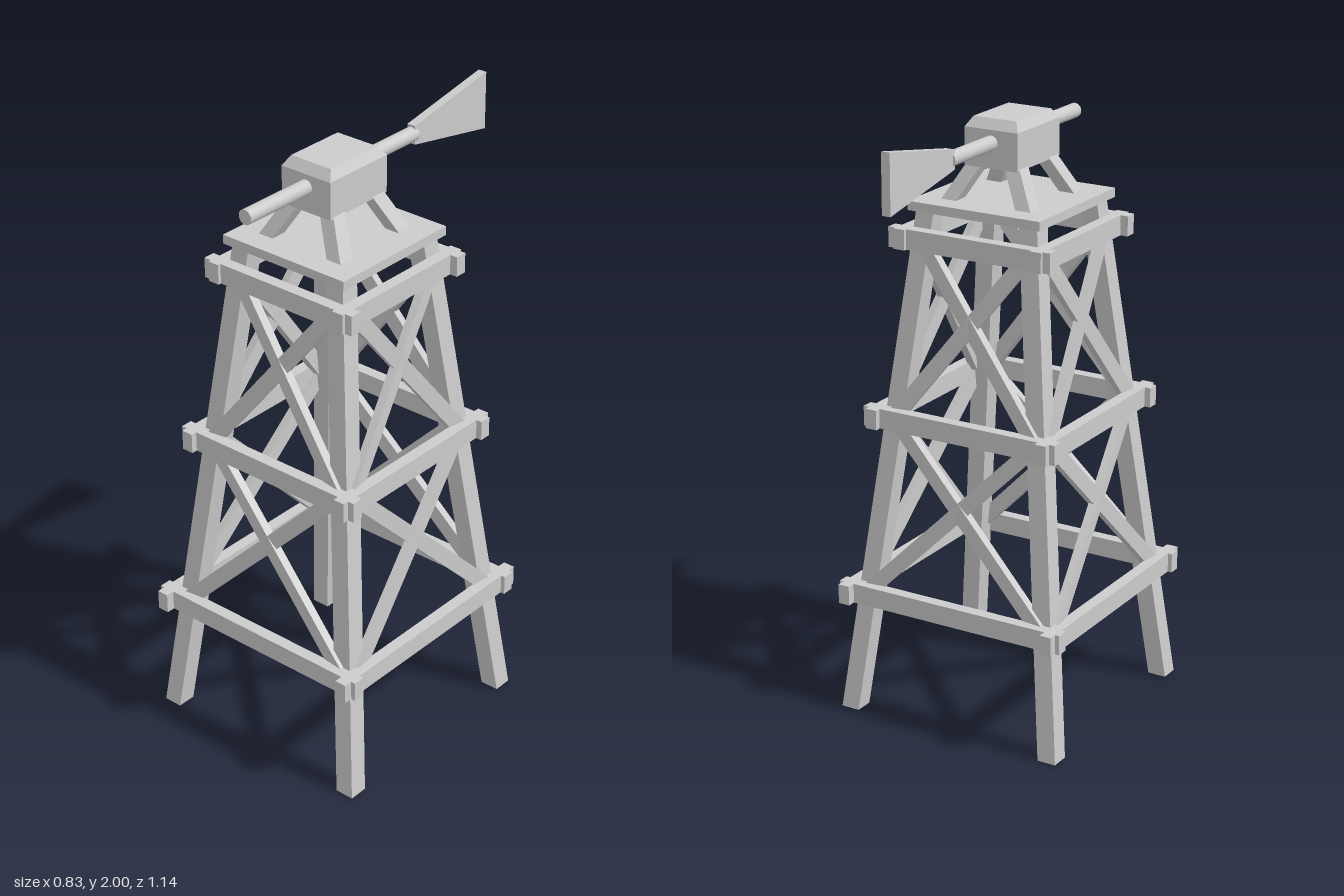
import * as THREE from 'three';

const material = new THREE.MeshStandardMaterial({ color: 0xcccccc, flatShading: true });
const CZ = 0.143; // tower axis in z

function add(parent, name, geometry, x = 0, y = 0, z = 0) {
  const mesh = new THREE.Mesh(geometry, material);
  mesh.name = name;
  mesh.position.set(x, y, z);
  parent.add(mesh);
  return mesh;
}

// Box whose top and bottom rectangles are [centreX, y, centreZ, width, depth]
function loft(bottom, top) {
  const geometry = new THREE.BoxGeometry(1, 1, 1);
  const p = geometry.attributes.position;
  for (let i = 0; i < p.count; i++) {
    const [x, y, z, w, d] = p.getY(i) > 0 ? top : bottom;
    p.setXYZ(i, x + p.getX(i) * w, y, z + p.getZ(i) * d);
  }
  geometry.computeVertexNormals();
  return geometry;
}

// Flat timber running from a to b
function beam(parent, name, a, b, thickness, width) {
  const mesh = add(parent, name, new THREE.BoxGeometry(thickness, width, a.distanceTo(b)));
  mesh.position.copy(a).add(b).multiplyScalar(0.5);
  mesh.lookAt(b);
  return mesh;
}

const legCentre = (y) => 0.375 - 0.112 * y;
const legSize = 0.064;
const corners = [[1, 1], [1, -1], [-1, 1], [-1, -1]];

export function createModel() {
  const model = new THREE.Group();
  model.name = 'windpumpTower';
  const tower = new THREE.Group();
  tower.name = 'tower';

  // Four leaning legs and the struts that carry the head
  for (const [sx, sz] of corners) {
    const lo = legCentre(0), hi = legCentre(1.69);
    add(tower, 'leg', loft(
      [sx * lo, 0, sz * lo, legSize, legSize],
      [sx * hi, 1.69, sz * hi, legSize, legSize]));
    add(tower, 'headStrut', loft(
      [sx * 0.137, 1.71, sz * 0.137, 0.054, 0.054],
      [sx * 0.066, 1.835, sz * 0.088, 0.054, 0.054]));
  }

  // Horizontal rails fixed to the outside of the legs
  const levels = [
    { y: 0.415, halfX: 0.413, halfZ: 0.427 },
    { y: 1.012, halfX: 0.352, halfZ: 0.352 },
    { y: 1.598, halfX: 0.292, halfZ: 0.277 },
  ];
  for (const { y, halfX, halfZ } of levels) {
    const offset = legCentre(y) + legSize / 2 + 0.018;
    for (const s of [-1, 1]) {
      add(tower, 'crossRail', new THREE.BoxGeometry(halfX * 2, 0.066, 0.04), 0, y, s * offset);
      add(tower, 'sideRail', new THREE.BoxGeometry(0.04, 0.066, halfZ * 2), s * offset, y, 0);
    }
  }

  // Crossed braces in both bays of all four sides
  for (let side = 0; side < 4; side++) {
    const face = new THREE.Group();
    face.name = 'braces';
    for (let i = 0; i < 2; i++) {
      const y0 = levels[i].y, y1 = levels[i + 1].y;
      const out = (y) => legCentre(y) + 0.028;
      for (const s of [-1, 1]) {
        beam(face, 'brace',
          new THREE.Vector3(-s * legCentre(y0), y0, out(y0)),
          new THREE.Vector3(s * legCentre(y1), y1, out(y1)), 0.027, 0.05);
      }
    }
    face.rotation.y = side * Math.PI / 2;
    tower.add(face);
  }

  // Platform and gear housing with a bevelled top
  add(tower, 'platform', new THREE.BoxGeometry(0.476, 0.03, 0.476), 0, 1.7, 0);
  add(tower, 'housing', new THREE.BoxGeometry(0.19, 0.122, 0.258), 0, 1.886, 0);
  add(tower, 'housingTop', loft(
    [0, 1.947, 0, 0.19, 0.258],
    [0, 1.978, 0, 0.154, 0.21]));
  tower.position.z = CZ;
  model.add(tower);

  // Shaft through the housing
  const shaftMaterial = material.clone();
  shaftMaterial.flatShading = false;
  const shaft = add(model, 'shaft', new THREE.CylinderGeometry(0.024, 0.024, 0.767, 20), 0, 1.906, 0.1535);
  shaft.material = shaftMaterial;
  shaft.rotation.x = Math.PI / 2;

  // Flaring tail vane
  const vane = add(model, 'tailVane', loft(
    [0, -0.57, 0, 0.03, 0.192],
    [0, -0.218, 0, 0.03, 0.062]), 0, 1.906, 0);
  vane.rotation.x = Math.PI / 2;

  return model;
}
